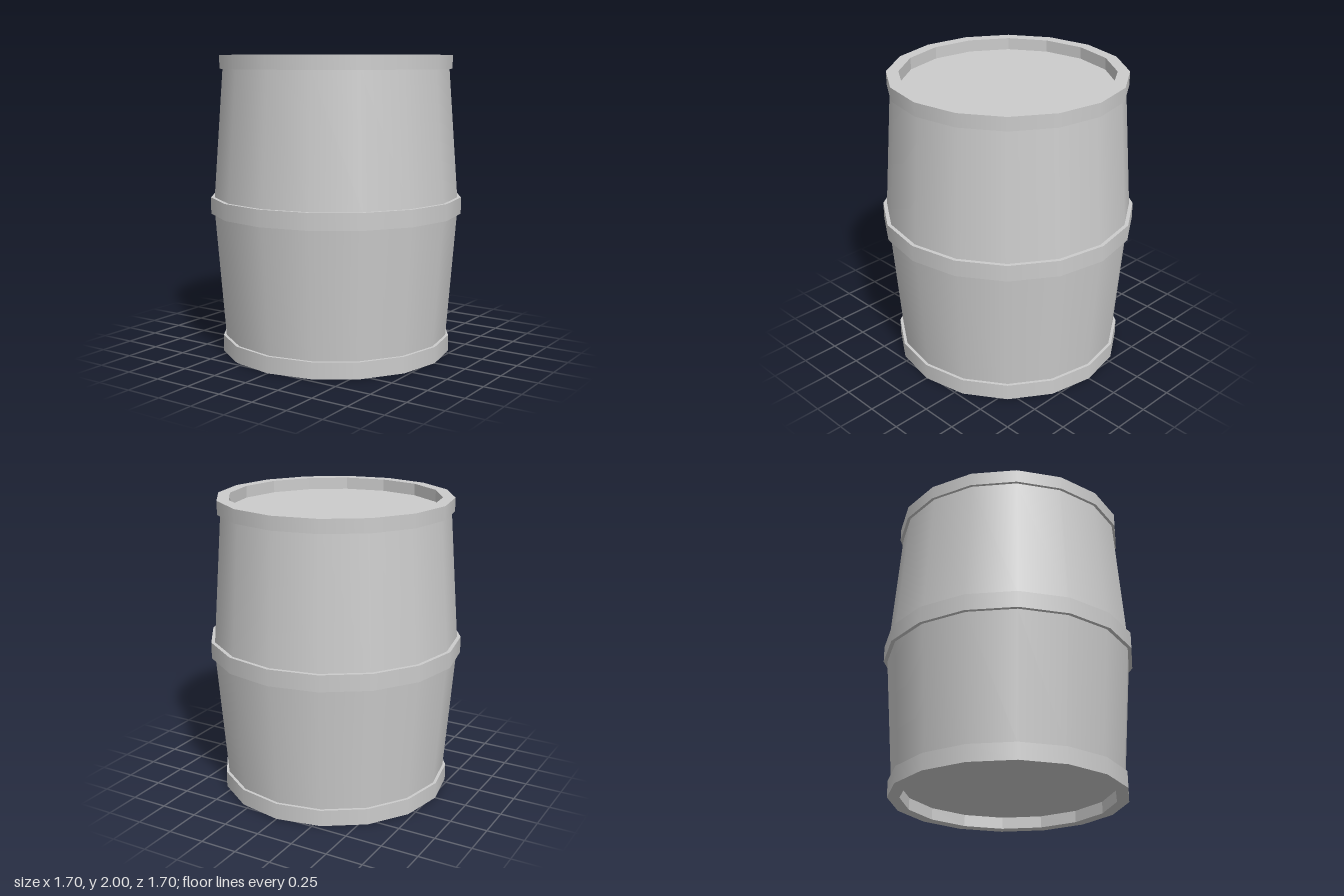
import * as THREE from 'three';
import { mergeGeometries } from 'three/addons/utils/BufferGeometryUtils.js';

const SIDES = 16;
const material = new THREE.MeshStandardMaterial({ color: 0xcccccc });

// Lathe that is smooth around the axis but has a crisp edge at every profile point.
function turned(profile) {
  const bands = [];
  for (let i = 0; i < profile.length - 1; i++) {
    const pair = [profile[i], profile[i + 1]].map(([r, y]) => new THREE.Vector2(r, y));
    bands.push(new THREE.LatheGeometry(pair, SIDES));
  }
  return mergeGeometries(bands);
}

// Closed rectangular ring between two radii and two heights.
function ring(inner, outer, y0, y1) {
  return turned([[inner, y0], [outer, y0], [outer, y1], [inner, y1]]);
}

// Faceted inner wall of a recessed end.
function innerWall(radius, y0, y1) {
  const wall = turned([[radius, y1], [radius, y0]]).toNonIndexed();
  wall.computeVertexNormals();
  return wall;
}

export function createModel() {
  const barrel = new THREE.Group();
  barrel.name = 'barrel';
  const add = (name, geometry) => {
    const mesh = new THREE.Mesh(geometry, material);
    mesh.name = name;
    barrel.add(mesh);
    return mesh;
  };

  // Tapered halves, widest at the middle hoop
  add('lowerBody', turned([[0.76, 0.11], [0.825, 0.95]]));
  add('upperBody', turned([[0.825, 1.06], [0.76, 1.91]]));

  // Hoops
  add('middleHoop', ring(0.82, 0.85, 0.95, 1.06));
  add('bottomRim', ring(0.7, 0.78, 0, 0.11));
  add('topRim', ring(0.7, 0.78, 1.91, 2));

  // Recessed ends
  add('topInnerWall', innerWall(0.7, 1.92, 2));
  add('bottomInnerWall', innerWall(0.7, 0, 0.08));
  for (const [name, y, turn] of [['lid', 1.92, -1], ['base', 0.08, 1]]) {
    const disc = add(name, new THREE.CircleGeometry(0.7, SIDES));
    disc.rotation.x = turn * Math.PI / 2;
    disc.position.y = y;
  }
  return barrel;
}
